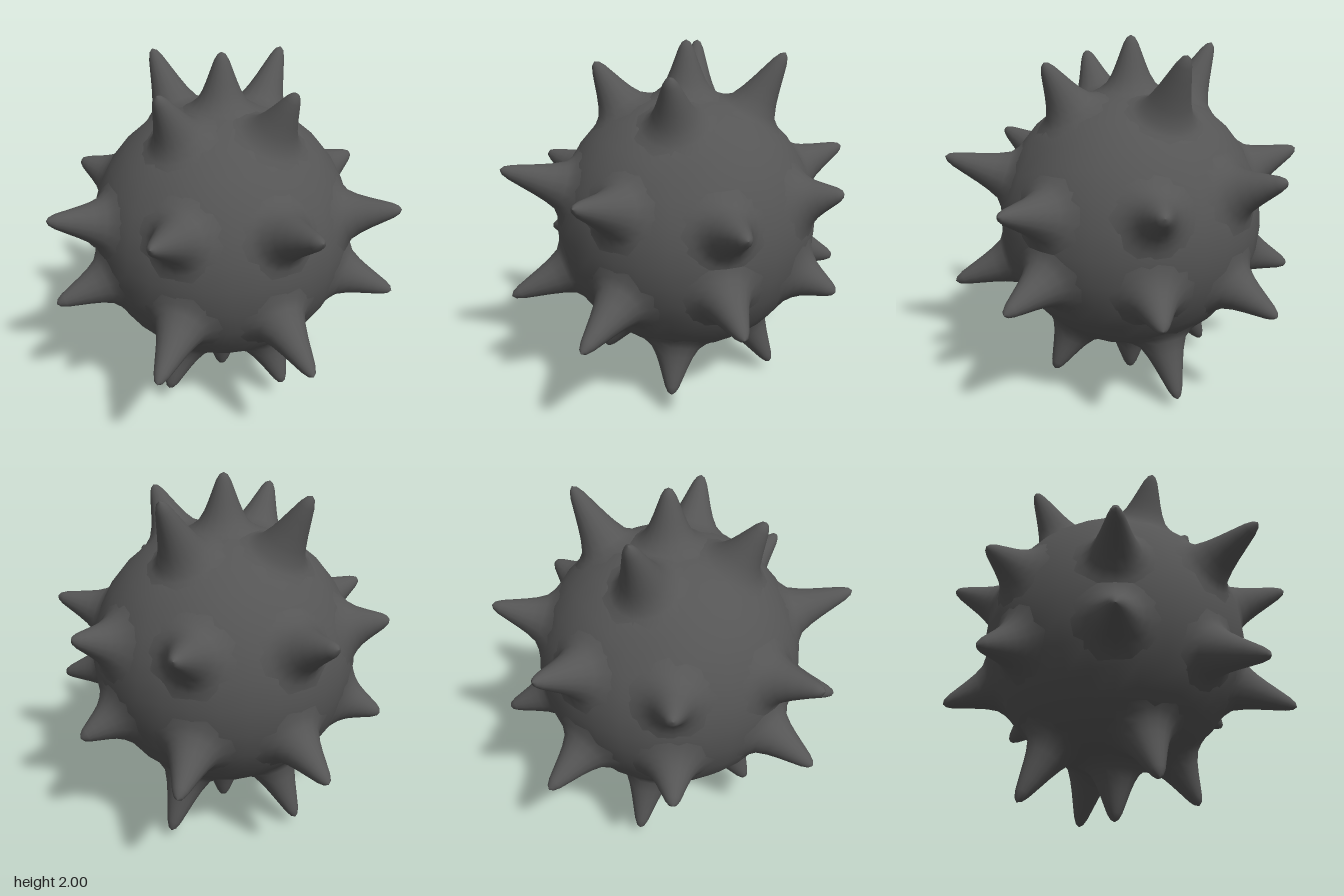
import * as THREE from 'three';
import { mergeVertices } from 'three/addons/utils/BufferGeometryUtils.js';

const R = 0.735;
const CENTER = new THREE.Vector3(0, 1, -0.03);

// Faceted ball: a subdivided box pushed out onto a sphere
function ballGeometry() {
  let geo = new THREE.BoxGeometry(2, 2, 2, 8, 8, 8);
  geo.deleteAttribute('uv');
  geo.deleteAttribute('normal');
  geo = mergeVertices(geo);
  const pos = geo.attributes.position;
  const v = new THREE.Vector3();
  const even = (t) => Math.tan((t * Math.PI) / 4);
  for (let i = 0; i < pos.count; i++) {
    v.fromBufferAttribute(pos, i);
    v.set(even(v.x), even(v.y), even(v.z)).setLength(R);
    pos.setXYZ(i, v.x, v.y, v.z);
  }
  geo.computeVertexNormals();
  return geo;
}

// Spike with a flared foot that meets the ball smoothly and a blunt tip
function spikeGeometry(length) {
  const s = (length - R) / 0.265;
  const profile = [
    [0.22, -0.04], [0.175, -0.019], [0.135, 0.012], [0.105, 0.06 * s],
    [0.083, 0.11 * s], [0.06, 0.17 * s], [0.04, 0.222 * s],
    [0.022, 0.252 * s], [0, 0.265 * s],
  ].map(([r, h]) => new THREE.Vector2(r, R + h));
  return new THREE.LatheGeometry(profile, 16);
}

export function createModel() {
  const model = new THREE.Group();
  model.name = 'spikedBall';
  const darkGrey = new THREE.MeshStandardMaterial({ color: 0x555555 });
  darkGrey.name = 'darkGrey';

  const ball = new THREE.Mesh(ballGeometry(), darkGrey);
  ball.name = 'ball';
  ball.position.copy(CENTER);
  model.add(ball);

  const up = new THREE.Vector3(0, 1, 0);
  function addSpike(name, x, y, z) {
    const dir = new THREE.Vector3(x, y, z).sub(CENTER);
    const spike = new THREE.Mesh(spikeGeometry(dir.length()), darkGrey);
    spike.name = name;
    spike.position.copy(CENTER);
    spike.quaternion.setFromUnitVectors(up, dir.normalize());
    model.add(spike);
  }

  // Pole spikes
  addSpike('topSpike', 0, 2, -0.03);
  addSpike('bottomSpike', 0, 0, -0.03);

  // Tips as x, height from the middle, z; mirrored left-right and up-down
  const tips = [
    ['frontSpike', 0.38, 0.37, 0.91],
    ['backSpike', 0.37, 0.36, -0.91],
    ['sideFrontSpike', 0.92, 0.25, 0.35],
    ['sideBackSpike', 0.82, 0.28, -0.41],
    ['poleFrontSpike', 0.335, 0.88, 0.335],
    ['poleBackSpike', 0.365, 0.94, -0.405],
  ];
  for (const [name, x, h, z] of tips) {
    for (const sx of [1, -1]) {
      for (const sy of [1, -1]) {
        const label = `${name}${sy > 0 ? 'Upper' : 'Lower'}${sx > 0 ? 'Left' : 'Right'}`;
        addSpike(label, sx * x, 1 + sy * h, z);
      }
    }
  }
  return model;
}
